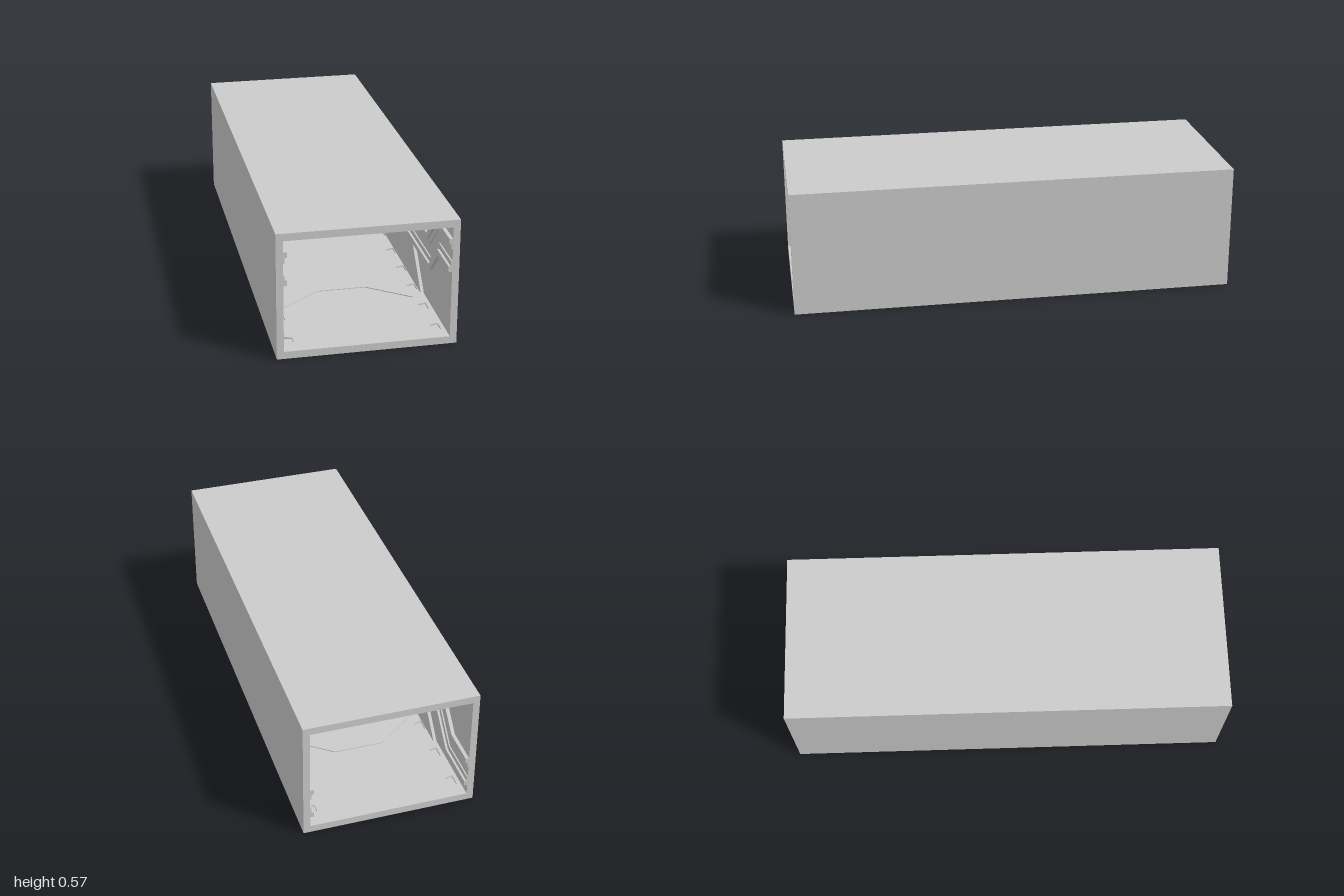
import * as THREE from 'three';

const MAT = new THREE.MeshStandardMaterial({ color: 0xcccccc, flatShading: true });
const W = 0.385, H = 0.566, WALL = 0.355, FLOOR = 0.033, LAYER = 0.008;

function add(group, name, geometry) {
  const mesh = new THREE.Mesh(geometry, MAT);
  mesh.name = name;
  group.add(mesh);
  return mesh;
}

function box(group, name, w, h, d, x, y, z) {
  add(group, name, new THREE.BoxGeometry(w, h, d)).position.set(x, y, z);
}

function extrude(points, depth, holes = []) {
  const shape = new THREE.Shape(points.map(p => new THREE.Vector2(...p)));
  holes.forEach(h => shape.holes.push(new THREE.Path(h.map(p => new THREE.Vector2(...p)))));
  return new THREE.ExtrudeGeometry(shape, { depth, bevelEnabled: false });
}

// Edge of the wall band, offset from its centre line; s runs from front (0) to back (2)
function bandEdge(offset) {
  const shift = offset * 0.414;
  return [[0, 0.408], [0.2, 0.408], [0.325, 0.283], [1.675, 0.283], [1.8, 0.158], [2, 0.158]]
    .map(([s, y]) => [s === 0 || s === 2 ? s : s + shift, y + offset]);
}

// Relief piece standing on a side wall, from points (s, y)
function relief(group, name, side, points, depth) {
  const g = extrude(points.map(([s, y]) => [side * (1 - s), y]), depth);
  g.rotateY(-side * Math.PI / 2);
  g.translate(side * WALL, 0, 0);
  add(group, name, g);
}

function buildWall(side) {
  const wall = new THREE.Group();
  wall.name = side > 0 ? 'leftWall' : 'rightWall';
  const t = W - WALL;
  box(wall, 'wallSlab', t, H, 2, side * (W - t / 2), H / 2, 0);

  // Stepped band with a double groove along its middle
  const strips = [
    ['bandRail', -0.075, -0.05, 0.016],
    ['grooveStep', -0.05, -0.026, 0.006],
    ['grooveStep', 0.026, 0.05, 0.006],
    ['bandRail', 0.05, 0.075, 0.016],
  ];
  for (const [name, lo, hi, depth] of strips) {
    relief(wall, name, side, [...bandEdge(lo), ...bandEdge(hi).reverse()], depth);
  }

  // Raised panels below and above the band, half-turn copies of each other
  const panel = [[0.42, FLOOR], [0.58, 0.208], [1.47, 0.208], [1.63, FLOOR]];
  relief(wall, 'lowerPanel', side, panel, 0.0145);
  relief(wall, 'upperPanel', side, panel.map(([s, y]) => [2 - s, H - y]), 0.0145);
  return wall;
}

// Floor or ceiling: slab, notched inner layer and thin chevron plate
function buildDeck(top) {
  const deck = new THREE.Group();
  deck.name = top ? 'ceiling' : 'floor';
  const slab = FLOOR - LAYER;
  const level = y => (top ? H - y : y);
  box(deck, 'deckSlab', 2 * WALL, slab, 2, 0, level(slab / 2), 0);

  const notches = [];
  for (const side of [-1, 1]) {
    for (let i = 0; i < 10; i++) {
      const z = 0.9 - i * 0.2, a = side * 0.3, b = side * 0.337;
      notches.push([[a, z - 0.02], [b, z - 0.03], [b, z + 0.03], [a, z + 0.02]]);
    }
  }
  const lay = (name, g, y, depth) => {
    g.rotateX(Math.PI / 2);
    g.translate(0, top ? H - y : y + depth, 0);
    add(deck, name, g);
  };
  const outline = [[-WALL, -1], [WALL, -1], [WALL, 1], [-WALL, 1]];
  lay('notchedLayer', extrude(outline, LAYER, notches), slab, LAYER);

  const plate = [
    [-0.295, 0.61], [-0.11, 0.47], [0.11, 0.47], [0.295, 0.61],
    [0.295, -0.43], [0.11, -0.57], [-0.11, -0.57], [-0.295, -0.43],
  ];
  lay('chevronPlate', extrude(plate, 0.0035), FLOOR, 0.0035);
  return deck;
}

export function createModel() {
  const model = new THREE.Group();
  model.name = 'corridorSection';
  model.add(buildWall(1), buildWall(-1), buildDeck(false), buildDeck(true));
  return model;
}
